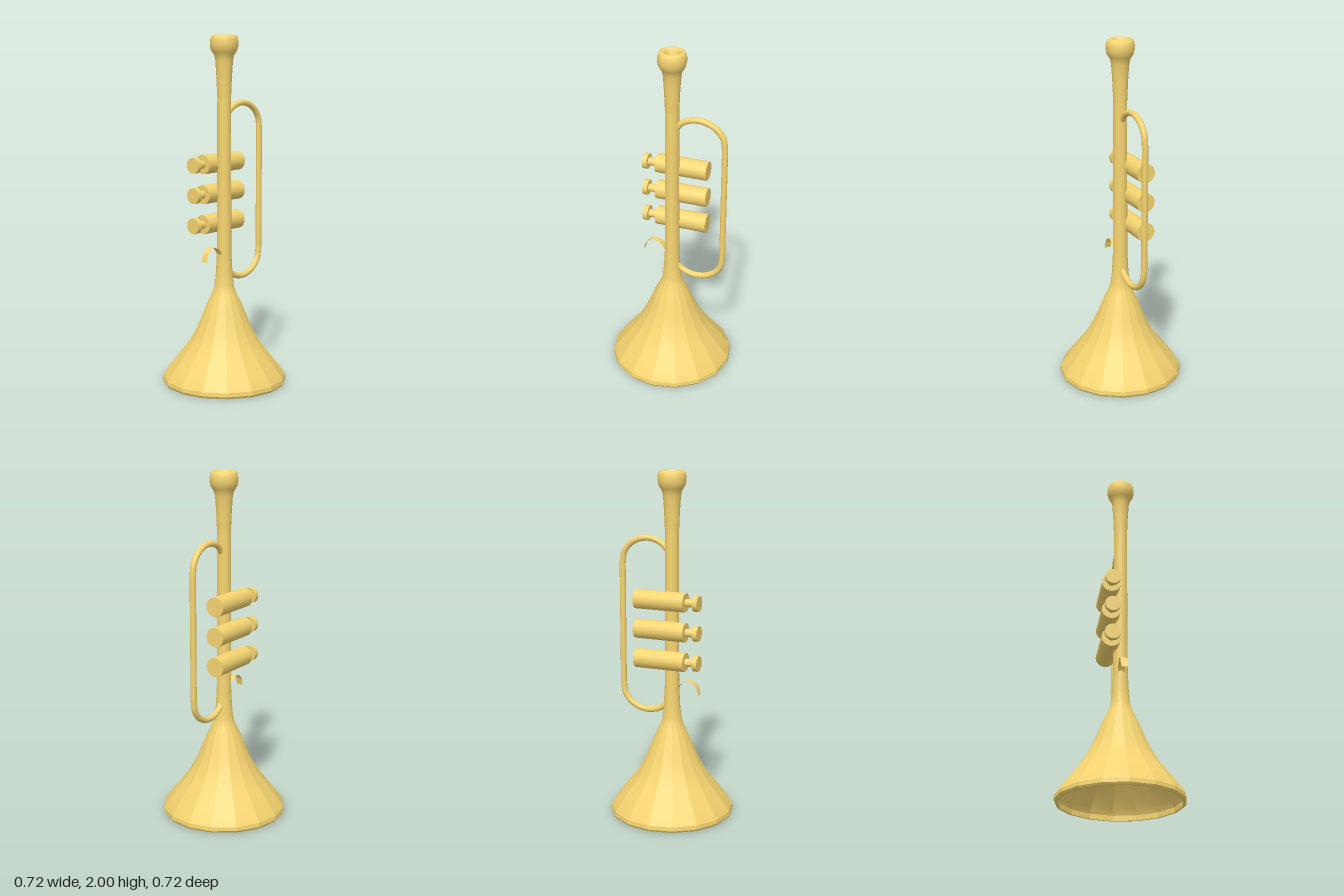
import * as THREE from 'three';
import { toCreasedNormals } from 'three/addons/utils/BufferGeometryUtils.js';

const brass = new THREE.MeshStandardMaterial({ color: 0xf5d470 });
const thinBrass = new THREE.MeshStandardMaterial({ color: 0xf5d470, side: THREE.DoubleSide });

function add(parent, name, geometry, material = brass) {
  const mesh = new THREE.Mesh(geometry, material);
  mesh.name = name;
  parent.add(mesh);
  return mesh;
}

// Sixteen-sided turned part; edges sharper than the crease angle stay hard
const lathe = (points, crease) => toCreasedNormals(
  new THREE.LatheGeometry(points.map(([r, y]) => new THREE.Vector2(r, y)), 16), crease);

// Point in the middle plane
const at = (y, z) => new THREE.Vector3(0, y, z);

// Curve through [y, z] points in the middle plane
const sideCurve = (points) =>
  new THREE.CatmullRomCurve3(points.map(([y, z]) => at(y, z)), false, 'centripetal');

// One valve along z: casing, stem and finger button
function createValve(y) {
  const valve = new THREE.Group();
  valve.name = 'valve';
  const sections = [
    ['valveCasing', 0.055, -0.192, 0.11],
    ['valveStem', 0.023, 0.11, 0.162],
    ['valveButton', 0.045, 0.162, 0.19],
  ];
  for (const [name, radius, back, front] of sections) {
    const geometry = new THREE.CylinderGeometry(radius, radius, front - back, 24);
    geometry.rotateX(Math.PI / 2);
    add(valve, name, geometry).position.z = (back + front) / 2;
  }
  valve.position.set(-0.066, y, 0);
  return valve;
}

export function createModel() {
  const trumpet = new THREE.Group();
  trumpet.name = 'trumpet';

  // Bell and lead pipe, from the inner throat round the rim and up
  add(trumpet, 'bellAndPipe', lathe([
    [0, 0.62], [0.035, 0.59], [0.06, 0.52], [0.09, 0.46], [0.13, 0.36], [0.175, 0.27],
    [0.243, 0.17], [0.325, 0.065], [0.34, 0.03], [0.34, 0], [0.352, 0], [0.36, 0.012],
    [0.357, 0.035], [0.342, 0.06], [0.3, 0.115], [0.257, 0.17], [0.22, 0.217], [0.187, 0.27],
    [0.163, 0.315], [0.142, 0.36], [0.102, 0.46], [0.073, 0.52], [0.062, 0.547],
    [0.055, 0.575], [0.048, 0.64], [0.042, 0.76], [0.04, 1.2], [0.039, 1.65],
  ], 0.28));

  // Mouthpiece with hollow cup
  add(trumpet, 'mouthpiece', lathe([
    [0.039, 1.65], [0.044, 1.77], [0.05, 1.86], [0.056, 1.886], [0.066, 1.902], [0.075, 1.918],
    [0.08, 1.94], [0.08, 1.965], [0.076, 1.985], [0.07, 1.995], [0.06, 2], [0.05, 1.999],
    [0.042, 1.992], [0.037, 1.975], [0.032, 1.96], [0.022, 1.946], [0.01, 1.94], [0, 1.938],
  ], 0.8));

  // Long tuning loop behind the pipe: two bends joined by a straight tube
  const upperBend = sideCurve([
    [1.545, -0.02], [1.585, -0.055], [1.608, -0.1], [1.616, -0.155], [1.605, -0.21],
    [1.575, -0.26], [1.525, -0.295], [1.46, -0.305],
  ]);
  const lowerBend = sideCurve([
    [0.76, -0.305], [0.695, -0.295], [0.645, -0.26], [0.615, -0.21], [0.604, -0.155],
    [0.612, -0.1], [0.635, -0.055], [0.672, -0.02],
  ]);
  const loop = new THREE.CurvePath();
  loop.add(upperBend);
  loop.add(new THREE.LineCurve3(at(1.46, -0.305), at(0.76, -0.305)));
  loop.add(lowerBend);
  add(trumpet, 'tuningLoop', new THREE.TubeGeometry(loop, 96, 0.0175, 12));

  // Three valves
  for (const y of [0.93, 1.103, 1.275]) trumpet.add(createValve(y));

  // Finger hook: a thin bent strip
  const hookPath = sideCurve([
    [0.745, 0.034], [0.779, 0.055], [0.798, 0.08], [0.804, 0.105], [0.798, 0.13],
    [0.776, 0.154], [0.728, 0.17],
  ]);
  const hook = new THREE.PlaneGeometry(0.04, 1, 1, 20);
  const position = hook.attributes.position;
  for (let i = 0; i < position.count; i++) {
    const p = hookPath.getPoint(0.5 - position.getY(i));
    position.setXYZ(i, position.getX(i), p.y, p.z);
  }
  hook.computeVertexNormals();
  add(trumpet, 'fingerHook', hook, thinBrass);

  return trumpet;
}
